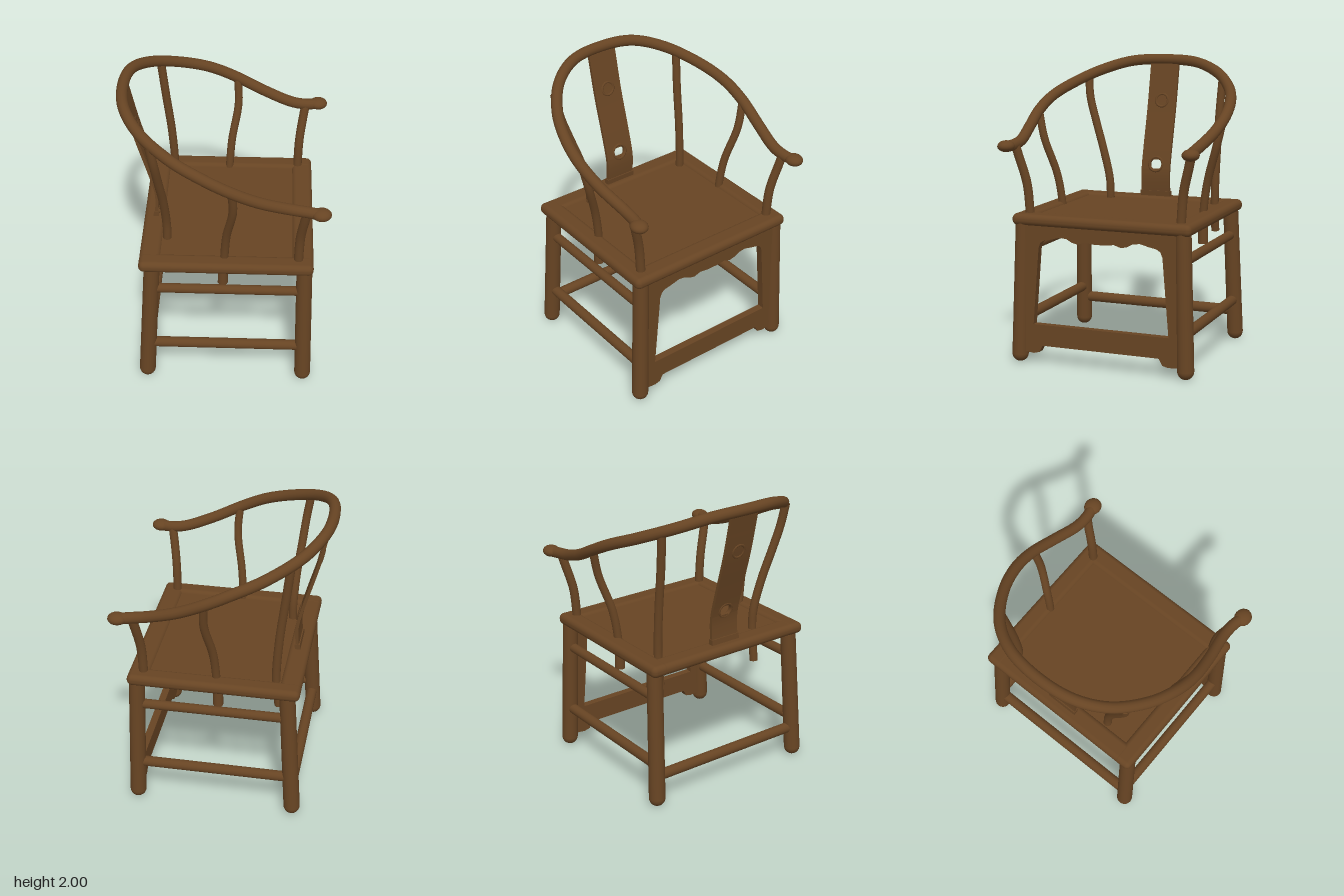
import * as THREE from 'three';
import { toCreasedNormals } from 'three/addons/utils/BufferGeometryUtils.js';
import { RoundedBoxGeometry } from 'three/addons/geometries/RoundedBoxGeometry.js';

const V = (p) => new THREE.Vector3(...p);

export function createModel() {
  const chair = new THREE.Group();
  chair.name = 'roundBackArmchair';
  const wood = new THREE.MeshStandardMaterial({ color: 0x674423 });
  wood.name = 'brown wood';

  const add = (name, geometry, pos = [0, 0, 0]) => {
    const mesh = new THREE.Mesh(geometry, wood);
    mesh.name = name;
    mesh.position.set(...pos);
    chair.add(mesh);
    return mesh;
  };
  const tube = (name, pts, r, segs = 24) =>
    add(name, new THREE.TubeGeometry(new THREE.CatmullRomCurve3(pts.map(V)), segs, r, 14));
  const ball = (name, pos, sx, sy, sz) =>
    add(name, new THREE.SphereGeometry(1, 20, 14), pos).scale.set(sx, sy, sz);
  // straight round bar from a to b
  const bar = (name, a, b, ra, rb = ra) => {
    const d = V(b).sub(V(a));
    const mesh = add(name, new THREE.CylinderGeometry(rb, ra, d.length(), 18));
    mesh.position.copy(V(a)).addScaledVector(d, 0.5);
    mesh.quaternion.setFromUnitVectors(new THREE.Vector3(0, 1, 0), d.normalize());
  };
  const extrude = (shape, depth) => toCreasedNormals(
    new THREE.ExtrudeGeometry(shape, { depth, bevelEnabled: false }), 0.6);
  const vecs = (list) => list.map(([x, y]) => new THREE.Vector2(x, y));

  // Seat: rounded frame around a slightly sunken panel
  for (const s of [1, -1])
    add('seatSideRail', new RoundedBoxGeometry(1.135, 0.078, 0.13, 4, 0.035), [0.027, 0.97, s * 0.557]);
  add('seatBackRail', new RoundedBoxGeometry(0.14, 0.076, 1.235, 4, 0.035), [-0.47, 0.97, 0]);
  add('seatFrontRail', new RoundedBoxGeometry(0.14, 0.076, 1.235, 4, 0.035), [0.525, 0.97, 0]);
  add('seatPanel', new THREE.BoxGeometry(0.94, 0.035, 1.06), [0.03, 0.972, 0]);

  // Sloping curved top rail that runs into the arms
  const half = [
    [-0.62, 1.95, 0.24], [-0.51, 1.89, 0.43], [-0.31, 1.80, 0.58], [-0.12, 1.722, 0.65],
    [0.05, 1.64, 0.668], [0.24, 1.548, 0.648], [0.44, 1.477, 0.614], [0.54, 1.46, 0.614], [0.64, 1.453, 0.634],
  ];
  const mirrored = half.map(([x, y, z]) => [x, y, -z]).reverse();
  tube('topRail', [...mirrored, [-0.652, 1.963, 0], ...half], 0.037, 110);

  for (const s of [1, -1]) {
    ball('armTip', [0.625, 1.457, s * 0.632], 0.062, 0.038, 0.056);

    // Arm posts
    tube('frontPost', [[0.54, 1.47, s * 0.612], [0.525, 1.38, s * 0.59], [0.502, 1.2, s * 0.545],
      [0.495, 0.96, s * 0.525]], 0.03);
    tube('middlePost', [[0.065, 1.63, s * 0.66], [0.072, 1.45, s * 0.62], [0.03, 1.2, s * 0.545],
      [0.015, 1.0, s * 0.515], [0.005, 0.8, s * 0.51]], 0.027);
    add('middlePostTenon', new THREE.CylinderGeometry(0.032, 0.034, 0.17, 14), [0.005, 0.87, s * 0.51]);

    // Splayed legs with rounded feet
    for (const [name, bx, tx] of [['frontLeg', 0.553, 0.536], ['backLeg', -0.51, -0.455]]) {
      bar(name, [bx, 0.06, s * 0.585], [tx, 0.96, s * 0.557], 0.055, 0.052);
      ball(name + 'Foot', [bx, 0.06, s * 0.585], 0.055, 0.055, 0.055);
    }

    // Side stretchers
    bar('upperSideStretcher', [-0.465, 0.765, s * 0.562], [0.54, 0.765, s * 0.562], 0.032);
    bar('lowerSideStretcher', [-0.495, 0.295, s * 0.577], [0.545, 0.295, s * 0.577], 0.035);
  }
  bar('backStretcher', [-0.5, 0.215, -0.58], [-0.5, 0.215, 0.58], 0.036);

  // Back posts: one swept inwards, one nearly straight
  tube('sweptBackPost', [[-0.45, 1.86, 0.51], [-0.425, 1.7, 0.49], [-0.405, 1.52, 0.435], [-0.385, 1.34, 0.375],
    [-0.372, 1.13, 0.32], [-0.37, 1.0, 0.312], [-0.395, 0.76, 0.312]], 0.028, 40);
  tube('straightBackPost', [[-0.45, 1.86, -0.49], [-0.42, 1.6, -0.478], [-0.385, 1.3, -0.472],
    [-0.37, 1.0, -0.468], [-0.39, 0.8, -0.468]], 0.028, 40);

  // Front frame: scalloped apron, side brackets and foot board, drawn in z and y
  const right = [[0.59, 0.08], [0.53, 0.08], [0.475, 0.075], [0.435, 0.085], [0.41, 0.13]];
  const frame = new THREE.Shape(vecs([[-0.56, 0.96], ...right.map(([z, y]) => [-z, y]), ...right.reverse(), [0.56, 0.96]]));
  const scallop = [[0.475, 0.272], [0.432, 0.79], [0.418, 0.825], [0.39, 0.842], [0.34, 0.852],
    [0.28, 0.868], [0.23, 0.862], [0.19, 0.84], [0.15, 0.832], [0.1, 0.848], [0.04, 0.84]];
  frame.holes.push(new THREE.Path(vecs([...scallop, ...scallop.map(([z, y]) => [-z, y]).reverse()])));
  const frameGeometry = extrude(frame, 0.05);
  frameGeometry.rotateY(Math.PI / 2);
  add('frontApronFrame', frameGeometry, [0.525, 0, 0]);

  // Curved back splat: strips of one bent board around a small opening
  const curve = new THREE.SplineCurve(vecs([[-0.645, 1.955], [-0.622, 1.85], [-0.572, 1.63],
    [-0.495, 1.36], [-0.455, 1.2], [-0.452, 1.1], [-0.462, 0.99]])).getPoints(80);
  const splatX = (y) => {
    const i = Math.max(1, curve.findIndex((p) => p.y <= y));
    const a = curve[i - 1], b = curve[i];
    return a.x + (b.x - a.x) * (a.y - y) / (a.y - b.y);
  };
  const strip = (name, y0, y1, z0, z1, t = 0.011) => {
    const n = Math.max(2, Math.ceil((y1 - y0) / 0.04));
    const front = [], back = [];
    for (let i = 0; i <= n; i++) {
      const y = y0 + (y1 - y0) * i / n;
      front.push([splatX(y) + t, y]);
      back.unshift([splatX(y) - t, y]);
    }
    add(name, extrude(new THREE.Shape(vecs([...front, ...back])), z1 - z0), [0, 0, z0]);
  };
  strip('splatUpper', 1.265, 1.95, -0.105, 0.105);
  strip('splatLower', 0.995, 1.2, -0.105, 0.105);
  strip('splatOpeningSide', 1.2, 1.265, -0.105, -0.042);
  strip('splatOpeningSide', 1.2, 1.265, 0.042, 0.105);
  strip('splatFoot', 0.995, 1.045, -0.11, 0.11, 0.018);

  // Carved rings on the splat
  for (const [y, r, tilt] of [[1.675, 0.045, 0.24], [1.232, 0.05, 0.22]]) {
    const ring = add('carvedRing', new THREE.TorusGeometry(r, 0.011, 8, 24), [splatX(y), y, 0]);
    ring.rotation.set(0, Math.PI / 2, 0);
    ring.rotateX(-tilt);
    ring.scale.z = 1.5;
  }
  return chair;
}
